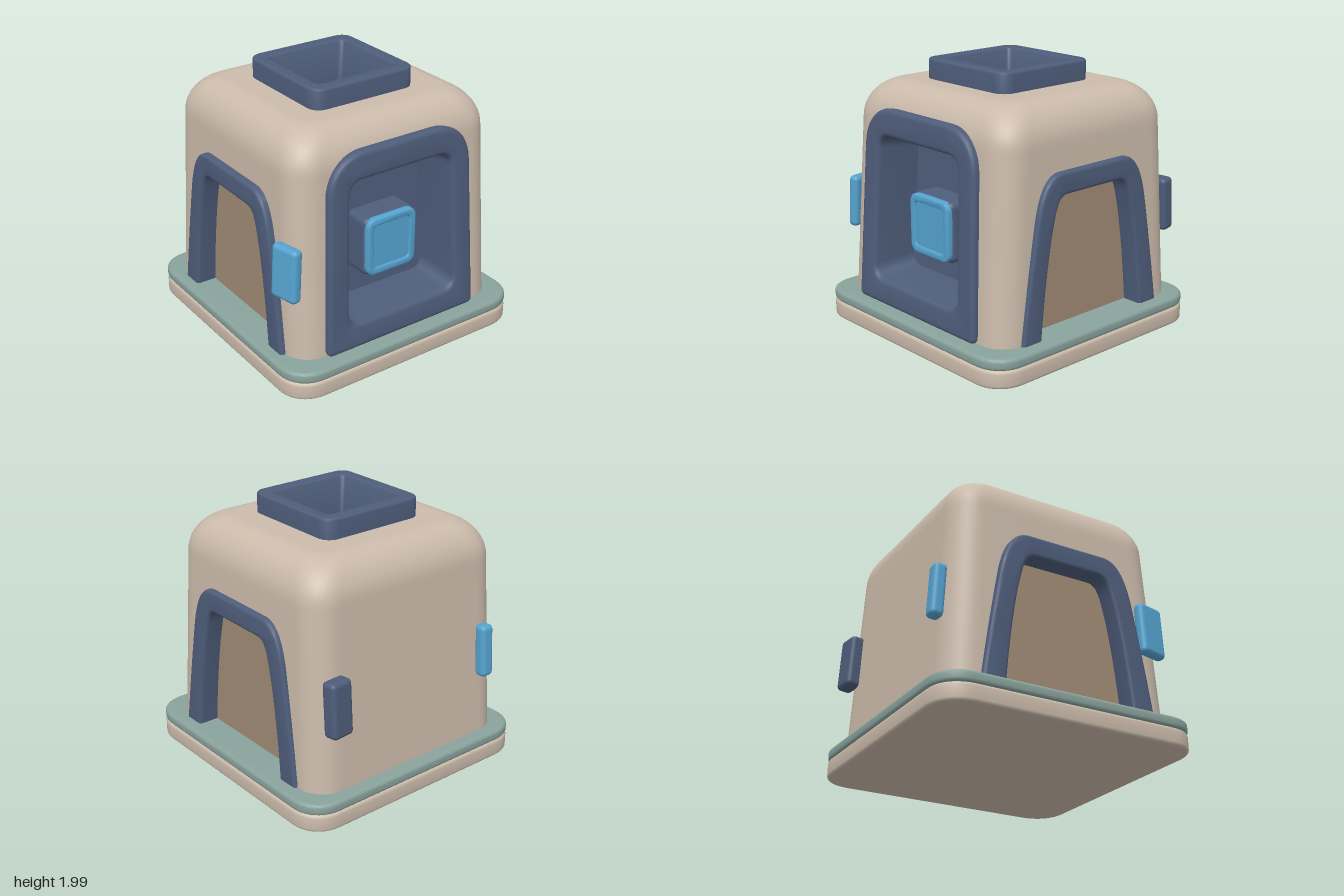
import * as THREE from 'three';
import { toCreasedNormals } from 'three/addons/utils/BufferGeometryUtils.js';
import { RoundedBoxGeometry } from 'three/addons/geometries/RoundedBoxGeometry.js';

const paint = (name, color) => {
  const m = new THREE.MeshStandardMaterial({ color });
  m.name = name;
  return m;
};

// Polygon path with rounded corners; each point is [x, y, corner length]
function roundedPath(points, PathType = THREE.Shape) {
  const path = new PathType(), n = points.length;
  points.forEach(([x, y, r], i) => {
    const p = new THREE.Vector2(x, y);
    const toward = (q) => new THREE.Vector2(q[0], q[1]).sub(p).setLength(r).add(p);
    const a = toward(points[(i + n - 1) % n]), b = toward(points[(i + 1) % n]);
    if (i) path.lineTo(a.x, a.y); else path.moveTo(a.x, a.y);
    path.bezierCurveTo(a.x + (x - a.x) * 0.6, a.y + (y - a.y) * 0.6,
      b.x + (x - b.x) * 0.6, b.y + (y - b.y) * 0.6, b.x, b.y);
  });
  path.closePath();
  return path;
}
const rect = (hx, hy, r, Type) =>
  roundedPath([[-hx, -hy, r], [hx, -hy, r], [hx, hy, r], [-hx, hy, r]], Type);

// Bevelled extrusion spanning z = 0..depth without growing the outline
function extrude(shape, depth, bevel) {
  return new THREE.ExtrudeGeometry(shape, {
    depth: depth - 2 * bevel, bevelThickness: bevel, bevelSize: bevel,
    bevelOffset: -bevel, bevelSegments: 4, curveSegments: 10,
  }).translate(0, 0, bevel);
}

function deform(geo, rule) {
  const p = geo.attributes.position, v = new THREE.Vector3();
  for (let i = 0; i < p.count; i++) {
    rule(v.fromBufferAttribute(p, i));
    p.setXYZ(i, v.x, v.y, v.z);
  }
  return toCreasedNormals(geo, 0.6);
}

// Closed rounded-rectangle cross-section
function ring(y, hx, hz, zc, r) {
  const corners = [0, 1, 2, 3].map((k) => {
    const sx = k === 0 || k === 3 ? 1 : -1, sz = k < 2 ? 1 : -1;
    return Array.from({ length: 9 }, (_, i) => {
      const a = (k + i / 8) * Math.PI / 2;
      return [sx * (hx - r) + r * Math.cos(a), y, zc + sz * (hz - r) + r * Math.sin(a)];
    });
  });
  return corners.flatMap((c, k) => {
    const a = c[8], b = corners[(k + 1) % 4][0], side = [];
    for (let i = 1; i < 36; i++) side.push(a.map((v, d) => v + (b[d] - v) * i / 36));
    return [...c, ...side];
  });
}

// Openings in the shell, their edges covered by the frames
function isOpening(x, y, z) {
  if (z > 0.6 && Math.abs(x) < 0.5 && y > 0.32 && y < 1.52) return true;
  const half = y < 1.1 ? 0.59 - 0.18 * (y - 0.2) : 0.38;
  return Math.abs(x) > 0.7 && y < 1.28 && Math.abs(z) < half;
}

function shellGeometry() {
  const rings = [];
  for (let i = 0; i <= 34; i++) {
    const t = i / 34;
    rings.push(ring(0.2 + 1.35 * t, 0.88 - 0.04 * t, 0.88 - 0.075 * t, -0.02 - 0.005 * t, 0.2));
  }
  for (let i = 1; i <= 12; i++) {
    const a = i / 12 * Math.PI / 2, d = 0.25 * (1 - Math.cos(a));
    rings.push(ring(1.55 + 0.29 * Math.sin(a), 0.84 - d, 0.805 - d, -0.025, 0.2 - 0.2 * d));
  }
  rings.push(ring(1.84, 0.38, 0.38, -0.01, 0.06));
  const n = rings[0].length, index = [];
  for (let i = 0; i < rings.length - 1; i++) {
    for (let j = 0; j < n; j++) {
      const k = (j + 1) % n;
      const p = rings[i][j], q = rings[i + 1][k];
      if (isOpening(...p.map((v, d) => (v + q[d]) / 2))) continue;
      const a = i * n + j, b = i * n + k, c = a + n, e = b + n;
      index.push(a, c, b, b, c, e);
    }
  }
  const geo = new THREE.BufferGeometry();
  geo.setAttribute('position', new THREE.Float32BufferAttribute(rings.flat(2), 3));
  geo.setIndex(index);
  geo.computeVertexNormals();
  return geo;
}

// Arch outline from left foot to right foot
function archPoints(foot, mid, ctrl, shoulder, midY, top) {
  const s = new THREE.Shape();
  s.moveTo(-foot, 0.19);
  s.quadraticCurveTo(-ctrl, 0.6, -mid, midY);
  s.bezierCurveTo(-mid + 0.05, top - 0.07, -shoulder - 0.1, top, -shoulder, top);
  const left = s.getPoints(12);
  return [...left, ...left.map((p) => new THREE.Vector2(-p.x, p.y)).reverse()];
}

export function createModel() {
  const cream = paint('cream', 0xcbbbab), teal = paint('sage teal', 0x89a29c);
  const navy = paint('slate blue', 0x4e5d7a), sky = paint('light blue', 0x55a3d0);
  const brown = paint('brown', 0xa18b75);
  const model = new THREE.Group();
  const add = (name, geo, mat, parent = model) => {
    const m = new THREE.Mesh(geo, mat);
    m.name = name;
    parent.add(m);
    return m;
  };

  // Two-layer base
  const slab = (y, h, b) => toCreasedNormals(
    extrude(rect(1, 1, 0.24), h, b).rotateX(-Math.PI / 2).translate(0, y, 0), 0.6);
  add('baseSlab', slab(0, 0.134, 0.025), cream);
  add('baseTop', slab(0.132, 0.084, 0.025), teal);

  add('bodyShell', shellGeometry(), cream);

  // Open roof vent with funnel sides
  const vent = rect(0.43, 0.43, 0.1);
  vent.holes.push(rect(0.33, 0.32, 0.04, THREE.Path));
  add('roofVent', deform(extrude(vent, 0.37, 0.02), (v) => {
    if (Math.max(Math.abs(v.x), Math.abs(v.y)) < 0.37) {
      const s = 0.77 + 0.23 * v.z / 0.37;
      v.x *= s; v.y *= s;
    }
  }).rotateX(-Math.PI / 2).translate(-0.01, 1.62, -0.01), navy);
  add('ventFloor', new THREE.BoxGeometry(0.62, 0.04, 0.62).translate(-0.01, 1.63, -0.01), navy);

  // Front frame with deep recess, leaning back with the wall
  const front = new THREE.Group();
  front.name = 'frontHatch';
  front.position.set(-0.012, 0, 0.5);
  model.add(front);
  const frame = roundedPath([[-0.655, 0.21, 0.05], [0.655, 0.21, 0.05], [0.595, 1.68, 0.29], [-0.595, 1.68, 0.29]]);
  frame.holes.push(roundedPath(
    [[-0.47, 0.4, 0.1], [0.47, 0.4, 0.1], [0.43, 1.475, 0.1], [-0.43, 1.475, 0.1]], THREE.Path));
  const lean = (v) => { v.z -= 0.05 * (v.y - 0.2); };
  add('frontFrame', deform(extrude(frame, 0.405, 0.035), (v) => {
    const s = 0.92 + 0.08 * Math.min(1, v.z / 0.33);
    v.x *= s;
    v.y = 0.9 + (v.y - 0.9) * s;
    lean(v);
  }), navy, front);
  add('recessFloor', deform(new THREE.BoxGeometry(0.98, 1.2, 0.05).translate(0, 0.93, 0.035), lean), navy, front);

  // Button block with a raised rim
  add('buttonBlock', new RoundedBoxGeometry(0.44, 0.455, 0.25, 4, 0.05).translate(0, 0.856, 0.1), navy, front);
  const rim = rect(0.212, 0.222, 0.07);
  rim.holes.push(rect(0.155, 0.165, 0.03, THREE.Path));
  add('buttonRim', toCreasedNormals(extrude(rim, 0.06, 0.015).translate(0, 0.86, 0.185), 0.6), sky, front);
  add('buttonFace', new THREE.BoxGeometry(0.34, 0.36, 0.009).translate(0, 0.86, 0.227), sky, front);

  // Arched doorways on both sides
  const arch = new THREE.Shape([
    ...archPoints(0.68, 0.545, 0.62, 0.3, 1.0, 1.37),
    ...archPoints(0.5, 0.4, 0.465, 0.24, 0.93, 1.21).reverse(),
  ]);
  const archGeo = deform(extrude(arch, 0.2, 0.025), (v) => { v.z -= 0.013 * (v.y - 0.2); });
  for (const side of [1, -1]) {
    const door = new THREE.Group();
    door.name = side > 0 ? 'leftDoorway' : 'rightDoorway';
    door.rotation.y = side * Math.PI / 2;
    door.position.x = side > 0 ? 0.705 : -0.717;
    model.add(door);
    add('doorFrame', archGeo, navy, door);
    add('doorPanel', new THREE.BoxGeometry(1.12, 1.1, 0.03).translate(0, 0.74, 0.03), brown, door);
  }

  // Small pads on the walls
  const pad = (name, size, pos, rot, mat) => {
    const m = add(name, new RoundedBoxGeometry(...size, 4, 0.035), mat);
    m.position.set(...pos);
    m.rotation.set(...rot);
  };
  pad('sidePad', [0.085, 0.4, 0.23], [-0.872, 0.88, 0.7], [0, 0.22, -0.06], sky);
  pad('backPadSmall', [0.11, 0.4, 0.1], [-0.675, 0.88, -0.9], [0.06, 0, 0], sky);
  pad('backPadLarge', [0.185, 0.41, 0.12], [0.71, 0.875, -0.905], [0.06, 0.1, 0], navy);

  return model;
}
